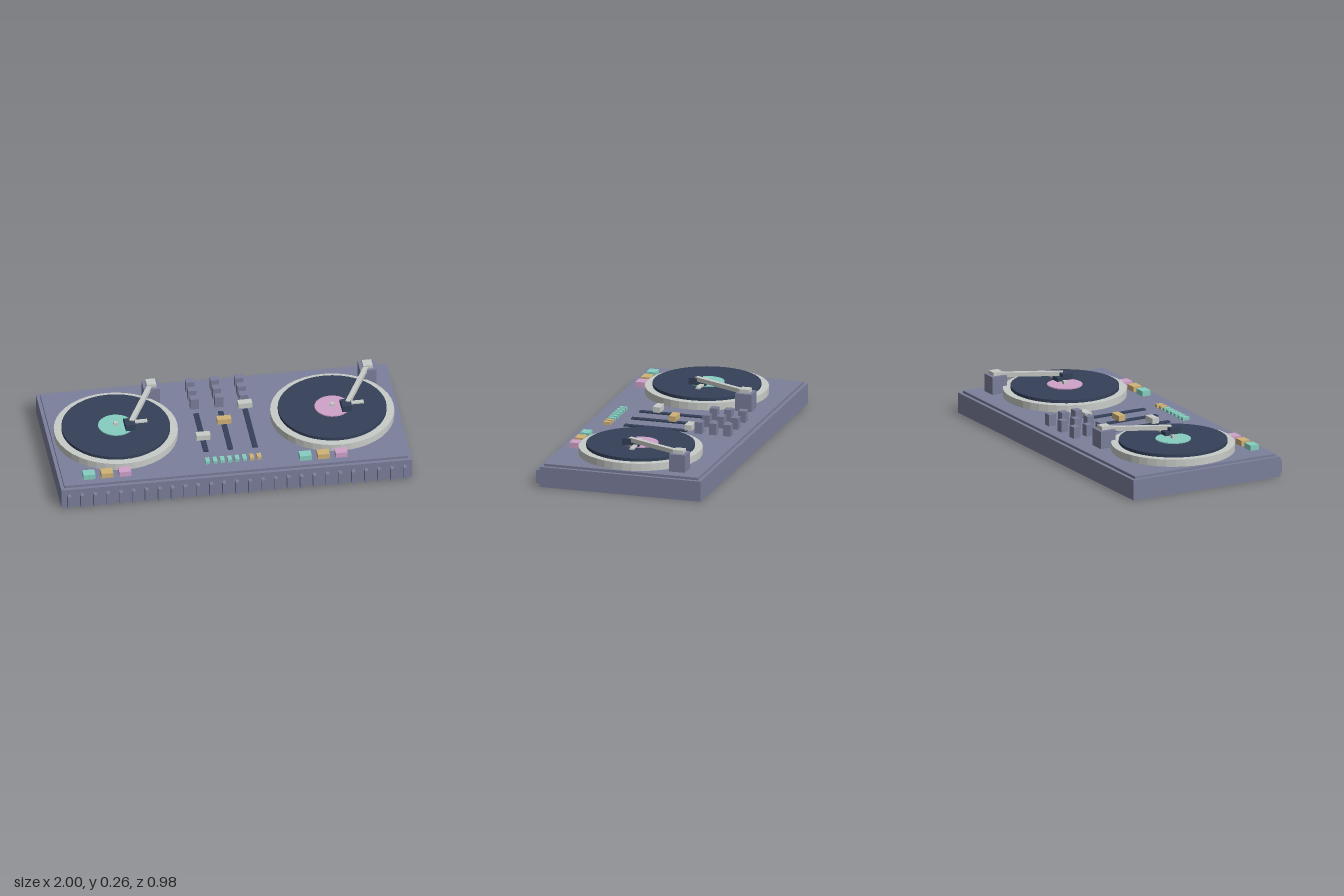
import * as THREE from 'three';

const mat = (name, color) => {
  const m = new THREE.MeshStandardMaterial({ color, flatShading: true });
  m.name = name;
  return m;
};

export function createModel() {
  const slate = mat('slate', 0x7b7f9b);
  const navy = mat('navy', 0x35415a);
  const silver = mat('silver', 0xc8ccc8);
  const mint = mat('mint', 0x86cec0);
  const tan = mat('tan', 0xcfb277);
  const pink = mat('pink', 0xd0a2ca);

  const root = new THREE.Group();
  root.name = 'djController';

  // Box given by its extents on each axis
  const box = (parent, name, m, [x0, x1], [y0, y1], [z0, z1]) => {
    const mesh = new THREE.Mesh(new THREE.BoxGeometry(x1 - x0, y1 - y0, z1 - z0), m);
    mesh.position.set((x0 + x1) / 2, (y0 + y1) / 2, (z0 + z1) / 2);
    mesh.name = name;
    parent.add(mesh);
    return mesh;
  };
  const around = (c, size) => [c - size / 2, c + size / 2];
  const disc = (parent, name, m, r, y0, y1, sides = 40) => {
    const mesh = new THREE.Mesh(new THREE.CylinderGeometry(r, r, y1 - y0, sides), m);
    mesh.position.y = (y0 + y1) / 2;
    mesh.name = name;
    parent.add(mesh);
  };

  // Case, raised top plate and front ribs
  box(root, 'case', slate, [-1, 1], [0, 0.118], [-0.49, 0.462]);
  box(root, 'topPlate', slate, [-0.98, 0.98], [0.118, 0.133], [-0.47, 0.442]);
  for (let i = 0; i < 27; i++) {
    box(root, 'frontRib', slate, around(-0.957 + i * 1.914 / 26, 0.02), [0.01, 0.088], [0.462, 0.492]);
  }

  // Two identical decks, differing only in label colour
  for (const [x, label] of [[-0.617, mint], [0.617, pink]]) {
    const deck = new THREE.Group();
    deck.name = 'deck';
    deck.position.set(x, 0, -0.015);
    root.add(deck);

    disc(deck, 'platter', silver, 0.35, 0.133, 0.175);
    disc(deck, 'record', navy, 0.307, 0.175, 0.193);
    disc(deck, 'recordLabel', label, 0.1, 0.193, 0.199, 32);
    box(deck, 'spindle', silver, around(0, 0.022), [0.199, 0.217], around(0, 0.022));

    // Tonearm post, pivot and slanted arm
    box(deck, 'tonearmPost', slate, [0.2, 0.293], [0.133, 0.235], [-0.355, -0.26]);
    box(deck, 'tonearmPivot', silver, [0.22, 0.274], [0.235, 0.256], [-0.337, -0.278]);
    const a = new THREE.Vector3(0.247, 0.235, -0.308);
    const b = new THREE.Vector3(0.083, 0.235, 0.035);
    const arm = new THREE.Mesh(new THREE.BoxGeometry(0.026, 0.025, a.distanceTo(b)), silver);
    arm.name = 'tonearm';
    arm.position.addVectors(a, b).multiplyScalar(0.5);
    arm.rotation.y = Math.atan2(b.x - a.x, b.z - a.z);
    deck.add(arm);

    // Headshell with cartridge and finger lift
    box(deck, 'headshell', navy, [0.046, 0.102], [0.203, 0.241], [0.01, 0.077]);
    box(deck, 'cartridge', navy, [0.046, 0.102], [0.2, 0.222], [-0.022, 0.02]);
    box(deck, 'fingerLift', silver, [0.1, 0.18], [0.203, 0.212], [-0.015, 0.01]);

    // Trigger pads
    [mint, tan, pink].forEach((m, i) =>
      box(root, 'triggerPad', m, around(x - 0.213 + i * 0.102, 0.068), [0.133, 0.164], [0.347, 0.4]));
  }

  // Mixer: three channels with knobs, fader slot and fader cap
  [[-0.14, 0.12, silver], [0, -0.018, tan], [0.14, -0.155, silver]].forEach(([x, z, m]) => {
    for (const kz of [-0.38, -0.296, -0.211]) {
      box(root, 'knob', slate, around(x, 0.048), [0.133, 0.2], around(kz, 0.043));
    }
    box(root, 'faderSlot', navy, around(x, 0.03), [0.133, 0.141], [-0.14, 0.232]);
    box(root, 'faderStem', navy, around(x, 0.02), [0.141, 0.152], around(z, 0.02));
    box(root, 'faderCap', m, around(x, 0.08), [0.15, 0.182], around(z, 0.042));
  });

  // Level lights
  for (let i = 0; i < 8; i++) {
    box(root, 'levelLight', i < 6 ? mint : tan, around(-0.147 + i * 0.042, 0.024), [0.133, 0.151], [0.31, 0.353]);
  }
  return root;
}
